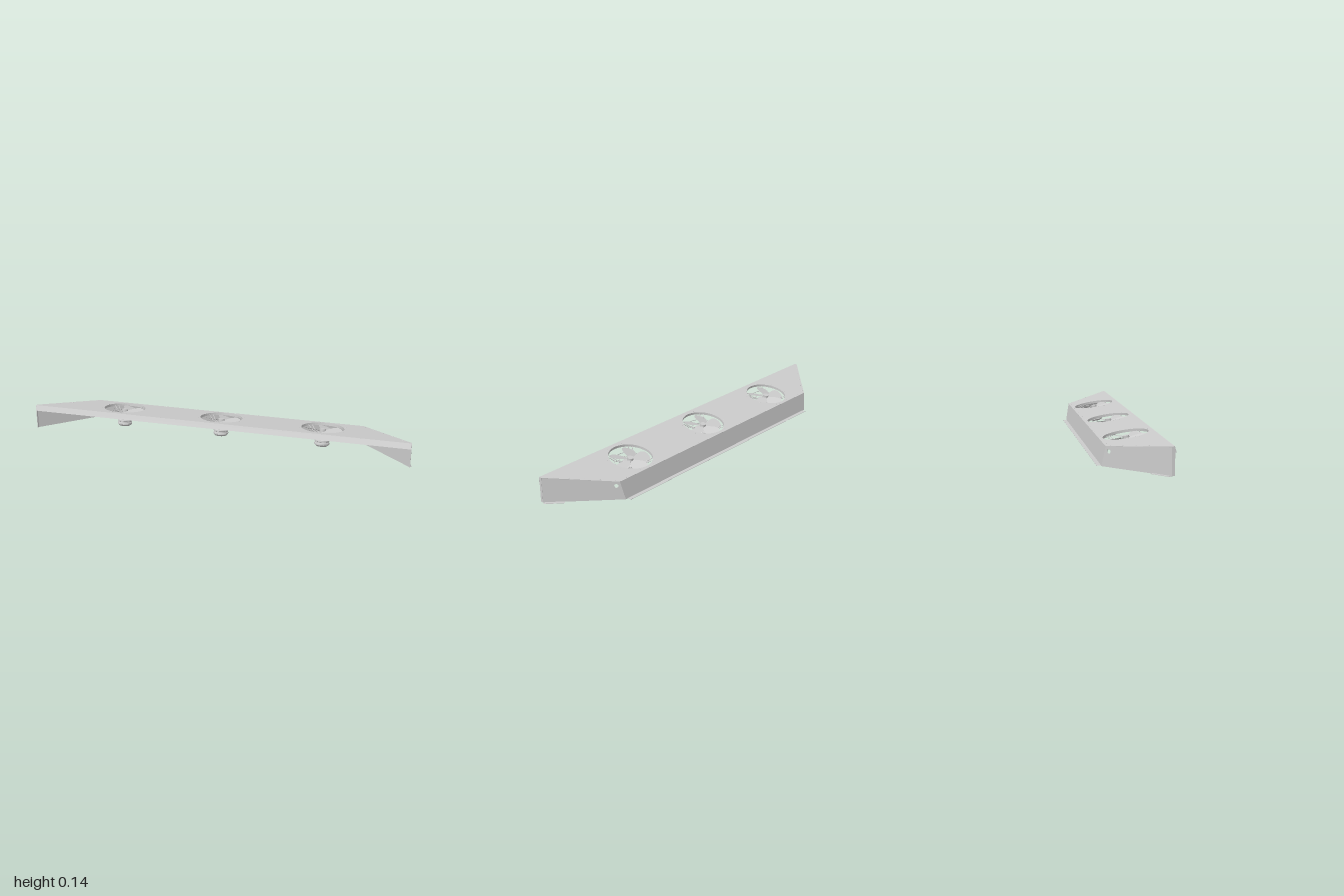
import * as THREE from 'three';

const T = 0.003; // sheet thickness
const mat = new THREE.MeshStandardMaterial({ color: 0xcccccc, side: THREE.DoubleSide });
const flat = new THREE.MeshStandardMaterial({ color: 0xcccccc, side: THREE.DoubleSide, flatShading: true });

function add(parent, name, geo, material = flat) {
  const mesh = new THREE.Mesh(geo, material);
  mesh.name = name;
  parent.add(mesh);
  return mesh;
}

function group(parent, name) {
  const g = new THREE.Group();
  g.name = name;
  parent.add(g);
  return g;
}

const box = (w, h, d, x, y, z) => new THREE.BoxGeometry(w, h, d).translate(x, y, z);
const outline = (pts) => new THREE.Shape(pts.map(([x, y]) => new THREE.Vector2(x, y)));
const sheet = (shape, depth = T) =>
  new THREE.ExtrudeGeometry(shape, { depth, bevelEnabled: false, curveSegments: 32 });

function punch(shape, x, y, r) {
  const hole = new THREE.Path();
  hole.absarc(x, y, r, 0, Math.PI * 2, true);
  shape.holes.push(hole);
}

// Fan, with its axis along local y and the panel at y = 0
function makeFan(parent) {
  const fan = group(parent, 'fan');

  // Pitched petal blades
  const petal = new THREE.Shape();
  petal.moveTo(0.012, -0.008);
  petal.bezierCurveTo(0.045, -0.05, 0.1, -0.05, 0.103, -0.012);
  petal.bezierCurveTo(0.106, 0.02, 0.09, 0.038, 0.07, 0.034);
  petal.bezierCurveTo(0.045, 0.03, 0.03, 0.012, 0.012, 0.008);
  for (let i = 0; i < 5; i++) {
    const geo = new THREE.ShapeGeometry(petal, 10).rotateX(-Math.PI / 2 + 0.3);
    const blade = add(fan, 'fanBlade', geo, mat);
    blade.position.y = -0.016;
    blade.rotation.y = (i * Math.PI * 2) / 5 + 0.3;
  }
  add(fan, 'fanHub', new THREE.CylinderGeometry(0.016, 0.016, 0.03, 20).translate(0, -0.02, 0));

  // Ribbed motor housing
  const profile = [[0, -0.03], [0.03, -0.03], [0.042, -0.038], [0.042, -0.05], [0.036, -0.052],
    [0.036, -0.058], [0.039, -0.06], [0.039, -0.066], [0.036, -0.068], [0.036, -0.074],
    [0.039, -0.076], [0.039, -0.084], [0.03, -0.093], [0, -0.093]];
  add(fan, 'motor', new THREE.LatheGeometry(profile.map(([x, y]) => new THREE.Vector2(x, y)), 28));

  // Rim around the opening
  const rim = [[0.11, -0.012], [0.11, 0.001], [0.114, 0.001]].map(([x, y]) => new THREE.Vector2(x, y));
  add(fan, 'fanRim', new THREE.LatheGeometry(rim, 48));

  // Wire bracket carrying the motor
  const arm = new THREE.CatmullRomCurve3([[0.122, -0.006], [0.1, -0.012], [0.08, -0.026], [0.036, -0.036]]
    .map(([x, y]) => new THREE.Vector3(x, y, 0)));
  for (let i = 0; i < 8; i++) {
    const a = (Math.floor(i / 2) + 0.5) * Math.PI / 2 + (i % 2 ? 0.1 : -0.1);
    add(fan, 'bracketArm', new THREE.TubeGeometry(arm, 10, 0.0018, 6), mat).rotation.y = a;
  }
  for (const [r, y] of [[0.08, -0.027], [0.055, -0.033]]) {
    add(fan, 'bracketRing', new THREE.TorusGeometry(r, 0.0015, 6, 40).rotateX(Math.PI / 2).translate(0, y, 0), mat);
  }

  // Fixings around the opening
  for (let i = 0; i < 8; i++) {
    const a = ((i + 0.5) * Math.PI) / 4;
    add(fan, 'rivet', new THREE.SphereGeometry(0.0025, 8, 6).translate(Math.cos(a) * 0.122, 0, Math.sin(a) * 0.122), mat);
  }
  return fan;
}

export function createModel() {
  const model = new THREE.Group();
  model.name = 'fanCanopy';

  // Sloping top panel with three round openings
  const slope = Math.atan2(0.04, 0.257);
  const top = group(model, 'topAssembly');
  top.position.set(0, 0.1146, 0.01);
  top.rotation.x = -slope;
  const fanX = [-0.537, 0, 0.537];
  const topShape = outline([[-0.731, -0.1265], [0.731, -0.1265], [0.995, 0.122],
    [0.995, 0.1335], [-0.995, 0.1335], [-0.995, 0.122]]);
  fanX.forEach((x) => punch(topShape, x, 0, 0.11));
  add(top, 'topPanel', sheet(topShape).rotateX(Math.PI / 2));
  fanX.forEach((x) => { makeFan(top).position.x = x; });

  // Rivets along the back and slanted edges
  const rivet = (x, z) => add(top, 'rivet', new THREE.SphereGeometry(0.0025, 8, 6).translate(x, 0, z), mat);
  for (let i = -4; i <= 4; i++) rivet(i * 0.17, -0.118);
  for (const s of [-1, 1]) {
    for (let i = 0; i < 5; i++) rivet(s * (0.74 + i * 0.052), -0.105 + i * 0.049);
  }

  // Front lip: leans forward, then folds back under
  const lip = outline([[0.14, 0.1345], [0.1425, 0.1355], [0.152, 0.107], [0.142, 0.1055],
    [0.142, 0.1075], [0.149, 0.109]]);
  add(model, 'frontLip', sheet(lip, 1.99).rotateY(-Math.PI / 2).translate(0.995, 0, 0));

  // Leaning back panel and its bottom flange
  const back = outline([[-0.713, 0], [0.713, 0], [0.731, 0.0965], [-0.731, 0.0965]]);
  const backPanel = add(model, 'backPanel', sheet(back));
  backPanel.position.z = -0.132;
  backPanel.rotation.x = Math.atan2(0.017, 0.095);
  add(model, 'backFlange', box(1.4, 0.0015, 0.021, 0, 0.00075, -0.1415));

  // Slanted side panels, local x running from the back corner to the front
  const along = (z) => (z + 0.132) * 1.466;
  for (const s of [1, -1]) {
    const side = group(model, s > 0 ? 'leftSide' : 'rightSide');
    side.position.set(s * 0.713, 0, -0.132);
    side.rotation.y = s > 0 ? -0.7508 : Math.PI + 0.7508;
    const shape = outline([[0, 0], [along(0.132), 0.004], [along(0.132), 0.133], [along(-0.115), 0.095]]);
    punch(shape, along(-0.103), 0.073, 0.01);
    add(side, 'sidePanel', sheet(shape).translate(0, 0, s > 0 ? 0 : -T));
    add(side, 'sideFoot', box(0.1, 0.002, 0.015, along(0.096), 0.004, -s * 0.0075));
    add(model, 'sideFrontFlange', box(T, 0.127, 0.014, s * 0.9945, 0.0685, 0.138));
  }
  return model;
}
